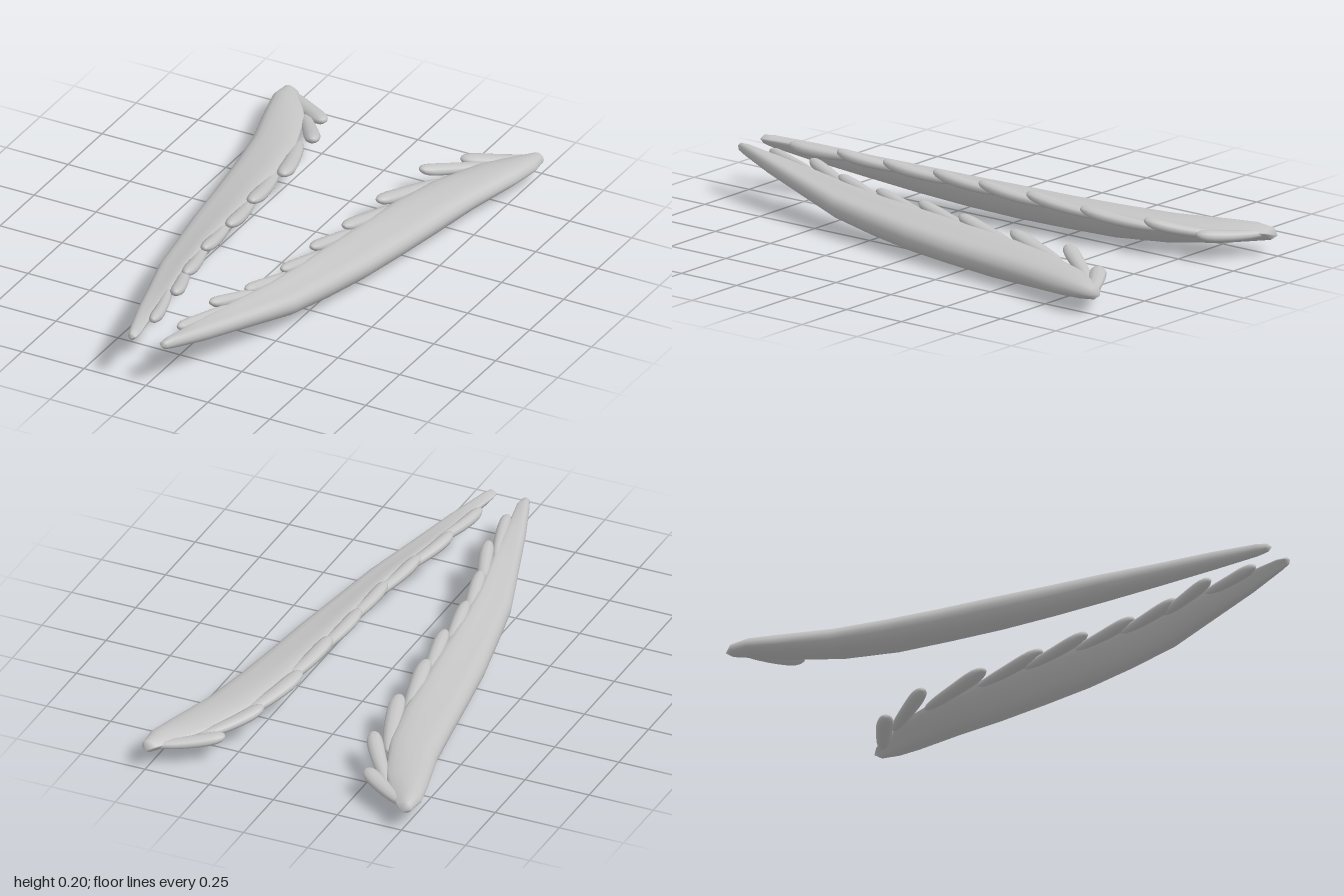
import * as THREE from 'three';
import { mergeVertices } from 'three/addons/utils/BufferGeometryUtils.js';

const grey = new THREE.MeshStandardMaterial({ color: 0xc4c4c4 });
grey.name = 'pale grey';
const V = (x, y, z) => new THREE.Vector3(x, y, z);

// Skin a list of closed rings, all with the same point count; end rings are shrunk to points.
function loft(rings, mirrored) {
  const n = rings[0].length, pos = [], idx = [];
  for (const ring of rings) for (const p of ring) pos.push(mirrored ? -p.x : p.x, p.y, p.z);
  const tri = (a, b, c) => (mirrored ? idx.push(a, c, b) : idx.push(a, b, c));
  for (let i = 0; i < rings.length - 1; i++) {
    for (let j = 0; j < n; j++) {
      const k = (j + 1) % n;
      const a = i * n + j, b = i * n + k, c = b + n, d = a + n;
      if (i < rings.length - 2) tri(a, b, c);
      else tri(a, b, d);
      if (i > 0 && i < rings.length - 2) tri(a, c, d);
      else if (i === 0) tri(a, c, d);
    }
  }
  let g = new THREE.BufferGeometry();
  g.setAttribute('position', new THREE.Float32BufferAttribute(pos, 3));
  g.setIndex(idx);
  g = mergeVertices(g, 1e-5);
  g.computeVertexNormals();
  return g;
}

// Blade stations: z, inner x, outer x, inner y, outer y, bottom y, top y
const STATIONS = [
  [-0.97, 0.465, 0.525, 0.09, 0.08, 0.06, 0.105],
  [-0.90, 0.41, 0.532, 0.095, 0.08, 0.048, 0.115],
  [-0.80, 0.345, 0.51, 0.10, 0.075, 0.033, 0.117],
  [-0.60, 0.27, 0.455, 0.108, 0.07, 0.014, 0.117],
  [-0.40, 0.23, 0.42, 0.117, 0.07, 0.005, 0.12],
  [-0.20, 0.21, 0.39, 0.125, 0.072, 0.008, 0.123],
  [0.00, 0.19, 0.36, 0.135, 0.08, 0.014, 0.13],
  [0.20, 0.175, 0.32, 0.145, 0.09, 0.028, 0.138],
  [0.40, 0.15, 0.28, 0.155, 0.105, 0.05, 0.148],
  [0.60, 0.11, 0.215, 0.168, 0.13, 0.085, 0.165],
  [0.80, 0.077, 0.15, 0.18, 0.155, 0.12, 0.185],
  [0.95, 0.047, 0.095, 0.185, 0.175, 0.152, 0.197],
  [0.985, 0.047, 0.08, 0.183, 0.178, 0.163, 0.194],
];

// Rounded cross-section: thick on the outer side, swept up to the inner edge
function bladeRing([z, xi, xo, yi, yo, yb, yt]) {
  const w = xo - xi, h = yt - yb;
  const curve = new THREE.CatmullRomCurve3([
    V(xo, yo, z),
    V(xo - 0.12 * w, yt - 0.12 * h, z),
    V(xi + 0.55 * w, yt, z),
    V(xi + 0.12 * w, yi + 0.08 * h, z),
    V(xi, yi - 0.06 * h, z),
    V(xi + 0.22 * w, yb + 0.34 * h, z),
    V(xi + 0.52 * w, yb, z),
    V(xo - 0.12 * w, yb + 0.2 * h, z),
  ], true);
  return curve.getPoints(20).slice(0, 20);
}

function bladeGeometry(mirrored) {
  const rings = STATIONS.map(bladeRing);
  const point = (x, y, z) => Array.from({ length: 20 }, () => V(x, y, z));
  return loft([point(0.5, 0.08, -1), ...rings, point(0.062, 0.179, 1)], mirrored);
}

// Feather fingers: root x y z, tip x y z, half width
const FEATHERS = [
  [0.50, 0.085, -0.96, 0.275, 0.098, -0.81, 0.036],
  [0.37, 0.085, -0.84, 0.215, 0.132, -0.62, 0.034],
  [0.29, 0.09, -0.66, 0.192, 0.134, -0.35, 0.036],
  [0.25, 0.10, -0.42, 0.188, 0.147, -0.11, 0.034],
  [0.225, 0.11, -0.21, 0.167, 0.156, 0.09, 0.031],
  [0.21, 0.12, 0.00, 0.158, 0.163, 0.29, 0.029],
  [0.195, 0.13, 0.20, 0.122, 0.172, 0.49, 0.029],
  [0.165, 0.145, 0.40, 0.072, 0.190, 0.66, 0.029],
  [0.125, 0.165, 0.60, 0.052, 0.185, 0.86, 0.026],
];

// Tapered flat finger that curls up to a rounded tip
function featherGeometry([rx, ry, rz, tx, ty, tz, w], mirrored) {
  const root = V(rx, ry, rz), tip = V(tx, ty, tz);
  const mid = root.clone().lerp(tip, 0.55).add(V(-0.012, -0.014, 0));
  const path = new THREE.QuadraticBezierCurve3(root, mid, tip);
  const dir = V(tx - rx, 0, tz - rz).normalize();
  const side = V(0, 1, 0).cross(dir);
  const rings = [];
  for (let i = 0; i <= 12; i++) {
    const t = (1 - Math.cos((Math.PI * i) / 12)) / 2;
    const swell = Math.sqrt(Math.max(0, 1 - Math.pow(2 * t - 1, 4))) * (0.65 + 0.35 * t);
    const c = path.getPoint(t);
    rings.push(Array.from({ length: 10 }, (_, j) => {
      const a = (j / 10) * Math.PI * 2;
      return c.clone()
        .addScaledVector(side, Math.cos(a) * w * swell)
        .add(V(0, Math.sin(a) * 0.024 * swell, 0));
    }));
  }
  return loft(rings, mirrored);
}

export function createModel() {
  const model = new THREE.Group();
  model.name = 'wingPair';
  for (const mirrored of [false, true]) {
    const wing = new THREE.Group();
    wing.name = mirrored ? 'rightWing' : 'leftWing';
    const add = (name, geometry) => {
      const mesh = new THREE.Mesh(geometry, grey);
      mesh.name = name;
      wing.add(mesh);
    };
    add('blade', bladeGeometry(mirrored));
    FEATHERS.forEach((f, i) => add('feather' + (i + 1), featherGeometry(f, mirrored)));
    model.add(wing);
  }
  return model;
}
